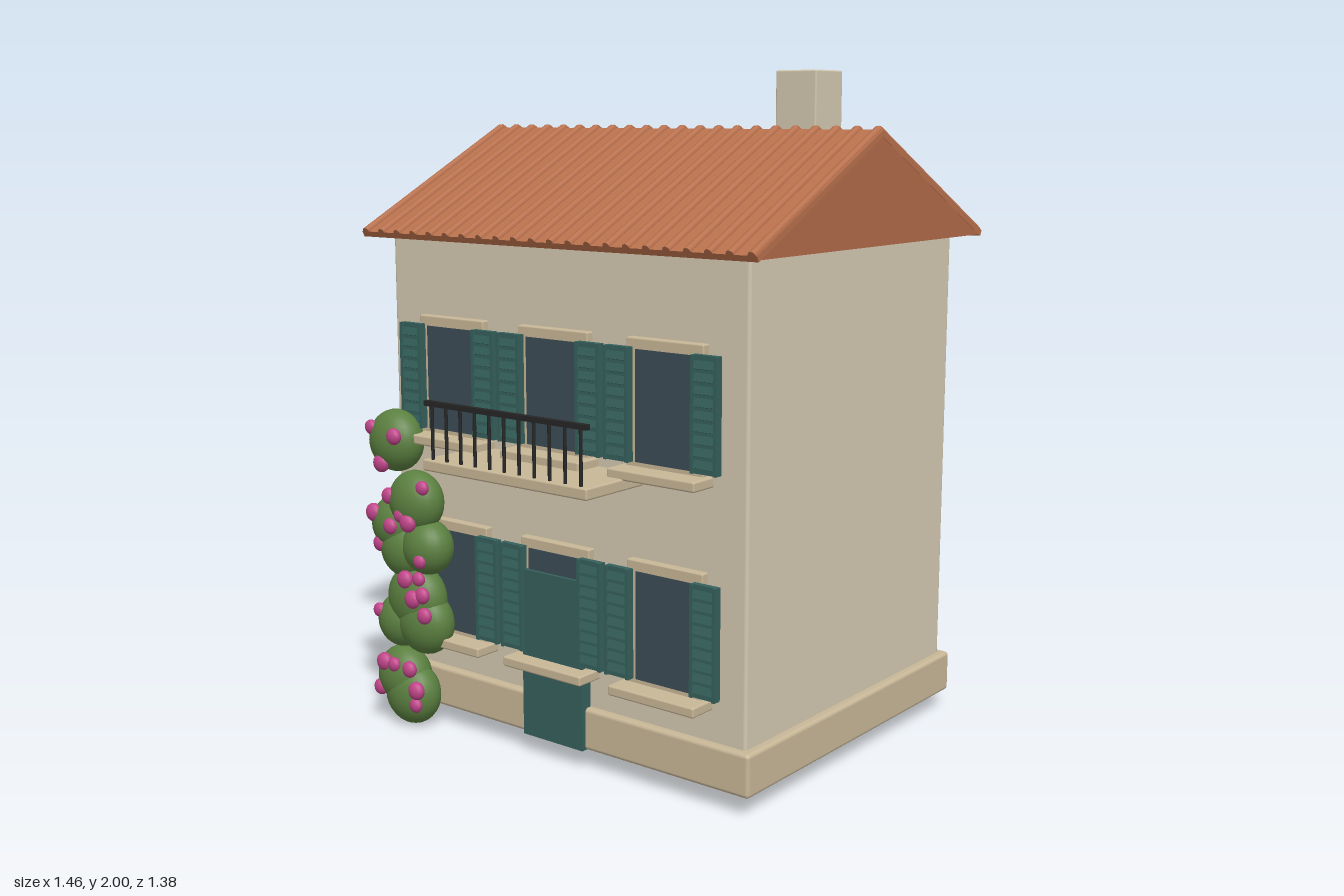
import * as THREE from 'three';
import { RoundedBoxGeometry } from 'three/addons/geometries/RoundedBoxGeometry.js';

const mat = (color, extra = {}) => new THREE.MeshStandardMaterial({ color, ...extra });
const M = {
  wall: mat(0xd3c9b0), stone: mat(0xc8b797), roof: mat(0xb8704c),
  gable: mat(0xb06a48, { side: THREE.DoubleSide }),
  glass: mat(0x3d4c55), shutter: mat(0x35605c), iron: mat(0x252525),
  leaf: mat(0x5b8040), flower: mat(0xc0458a),
};

function add(parent, name, geo, material, x = 0, y = 0, z = 0) {
  const mesh = new THREE.Mesh(geo, material);
  mesh.name = name;
  mesh.position.set(x, y, z);
  parent.add(mesh);
  return mesh;
}

// Box given by its limits; a radius rounds the edges
function block(parent, name, m, [x0, x1], [y0, y1], [z0, z1], r = 0) {
  const s = [x1 - x0, y1 - y0, z1 - z0];
  const geo = r ? new RoundedBoxGeometry(...s, 2, r) : new THREE.BoxGeometry(...s);
  return add(parent, name, geo, m, (x0 + x1) / 2, (y0 + y1) / 2, (z0 + z1) / 2);
}

function group(parent, name) {
  const g = new THREE.Group();
  g.name = name;
  parent.add(g);
  return g;
}

// Louvred shutter: backing panel, side stiles and tilted slats
function shutter(parent, x, y) {
  const g = group(parent, 'shutter');
  g.position.set(x, y, 0.475);
  block(g, 'shutterPanel', M.shutter, [-0.043, 0.043], [0, 0.318], [0, 0.018]);
  for (const s of [-1, 1]) {
    add(g, 'shutterStile', new THREE.BoxGeometry(0.01, 0.318, 0.01), M.shutter, s * 0.038, 0.159, 0.02);
  }
  for (let i = 0; i < 9; i++) {
    const slat = add(g, 'shutterSlat', new THREE.BoxGeometry(0.066, 0.024, 0.006), M.shutter, 0, 0.026 + i * 0.0333, 0.019);
    slat.rotation.x = -0.35;
  }
}

// Window whose shutters start at height y
function windowUnit(parent, x, y) {
  const g = group(parent, 'window');
  g.position.set(x, y, 0);
  block(g, 'windowSurround', M.stone, [-0.132, 0.132], [-0.02, 0.343], [0.44, 0.474], 0.005);
  block(g, 'windowPane', M.glass, [-0.097, 0.097], [0, 0.312], [0.45, 0.477]);
  block(g, 'windowSill', M.stone, [-0.15, 0.15], [-0.042, -0.012], [0.44, 0.538], 0.006);
  for (const s of [-1, 1]) shutter(g, s * 0.15, 0);
}

function buildRoof(parent) {
  const roof = group(parent, 'roof');
  const ridgeY = 1.832, ridgeZ = -0.084, run = 0.6, drop = 0.308;
  const length = Math.hypot(run, drop), angle = Math.atan2(drop, run);
  for (const turn of [0, Math.PI]) {
    const side = group(roof, 'roofSide');
    side.position.set(0, ridgeY, ridgeZ);
    side.rotation.y = turn;
    const slope = group(side, 'roofSlope');
    slope.rotation.x = angle;
    block(slope, 'roofSlab', M.roof, [-0.73, 0.73], [-0.018, 0], [0, length]);
    for (let i = 0; i < 22; i++) {
      const rib = add(slope, 'tileRib', new THREE.CylinderGeometry(0.013, 0.013, length, 10), M.roof,
        -0.714 + i * 0.068, -0.001, length / 2);
      rib.rotation.x = Math.PI / 2;
    }
  }
  // Gable triangles closing both ends
  const tri = new THREE.Shape([
    new THREE.Vector2(-0.597, 1.513), new THREE.Vector2(0.597, 1.513), new THREE.Vector2(0, 1.826),
  ]);
  for (const s of [-1, 1]) {
    const gable = add(roof, 'gable', new THREE.ShapeGeometry(tri), M.gable, s * 0.729, 0, ridgeZ);
    gable.rotation.y = s * Math.PI / 2;
  }
}

function buildBalcony(parent) {
  const g = group(parent, 'balcony');
  block(g, 'balconySlab', M.stone, [-0.31, 0.31], [0.866, 0.9], [0.44, 0.688], 0.006);
  block(g, 'handrail', M.iron, [-0.305, 0.305], [1.055, 1.07], [0.665, 0.682]);
  for (let i = 0; i < 11; i++) {
    add(g, 'baluster', new THREE.CylinderGeometry(0.005, 0.005, 0.165, 8), M.iron, -0.28 + i * 0.056, 0.978, 0.674);
  }
}

// Climbing plant: flattened leaf clumps with blossoms resting on their front
function buildClimber(parent) {
  const g = group(parent, 'climbingPlant');
  const z0 = 0.523, depth = 0.072;
  const clumps = [
    [-0.595, 0.895, 0.096], [-0.515, 0.715, 0.096], [-0.6, 0.635, 0.088], [-0.47, 0.58, 0.086],
    [-0.56, 0.56, 0.09], [-0.52, 0.41, 0.108], [-0.585, 0.33, 0.085], [-0.485, 0.34, 0.1],
    [-0.585, 0.15, 0.095], [-0.55, 0.1, 0.098],
  ];
  const leafGeo = new THREE.SphereGeometry(1, 24, 16);
  for (const [x, y, r] of clumps) {
    add(g, 'leafClump', leafGeo, M.leaf, x, y, z0).scale.set(r, r, depth);
  }
  const blossoms = [
    [-0.657, 0.935], [-0.545, 0.92], [-0.61, 0.83], [-0.452, 0.77], [-0.585, 0.73],
    [-0.65, 0.67], [-0.525, 0.68], [-0.57, 0.64], [-0.495, 0.66], [-0.445, 0.55],
    [-0.63, 0.575], [-0.515, 0.48], [-0.472, 0.485], [-0.448, 0.44], [-0.48, 0.425],
    [-0.64, 0.36], [-0.435, 0.38], [-0.615, 0.2], [-0.57, 0.2], [-0.52, 0.19],
    [-0.485, 0.13], [-0.485, 0.085], [-0.645, 0.11],
  ];
  blossoms.forEach(([x, y], i) => {
    let z = 0;
    for (const [cx, cy, r] of clumps) {
      const t = 1 - ((x - cx) ** 2 + (y - cy) ** 2) / (r * r);
      if (t > 0) z = Math.max(z, depth * Math.sqrt(t));
    }
    const r = 0.023 + (i % 3) * 0.003;
    add(g, 'blossom', new THREE.SphereGeometry(r, 12, 8), M.flower, x, y, z0 + Math.min(z, 0.059)).scale.z = 0.75;
  });
}

export function createModel() {
  const house = new THREE.Group();
  house.name = 'house';

  // Body
  block(house, 'walls', M.wall, [-0.664, 0.664], [0.075, 1.513], [-0.612, 0.45], 0.01);
  block(house, 'plinth', M.stone, [-0.69, 0.69], [0.058, 0.184], [-0.638, 0.474], 0.012);
  block(house, 'chimney', M.wall, [0.328, 0.468], [1.53, 2], [-0.289, -0.147], 0.005);
  buildRoof(house);

  // Facade
  for (const y of [0.937, 0.316]) {
    for (const x of [-0.402, 0, 0.402]) windowUnit(house, x, y);
  }
  block(house, 'door', M.shutter, [-0.115, 0.115], [0.058, 0.565], [0.44, 0.488]);
  buildBalcony(house);
  buildClimber(house);
  return house;
}
